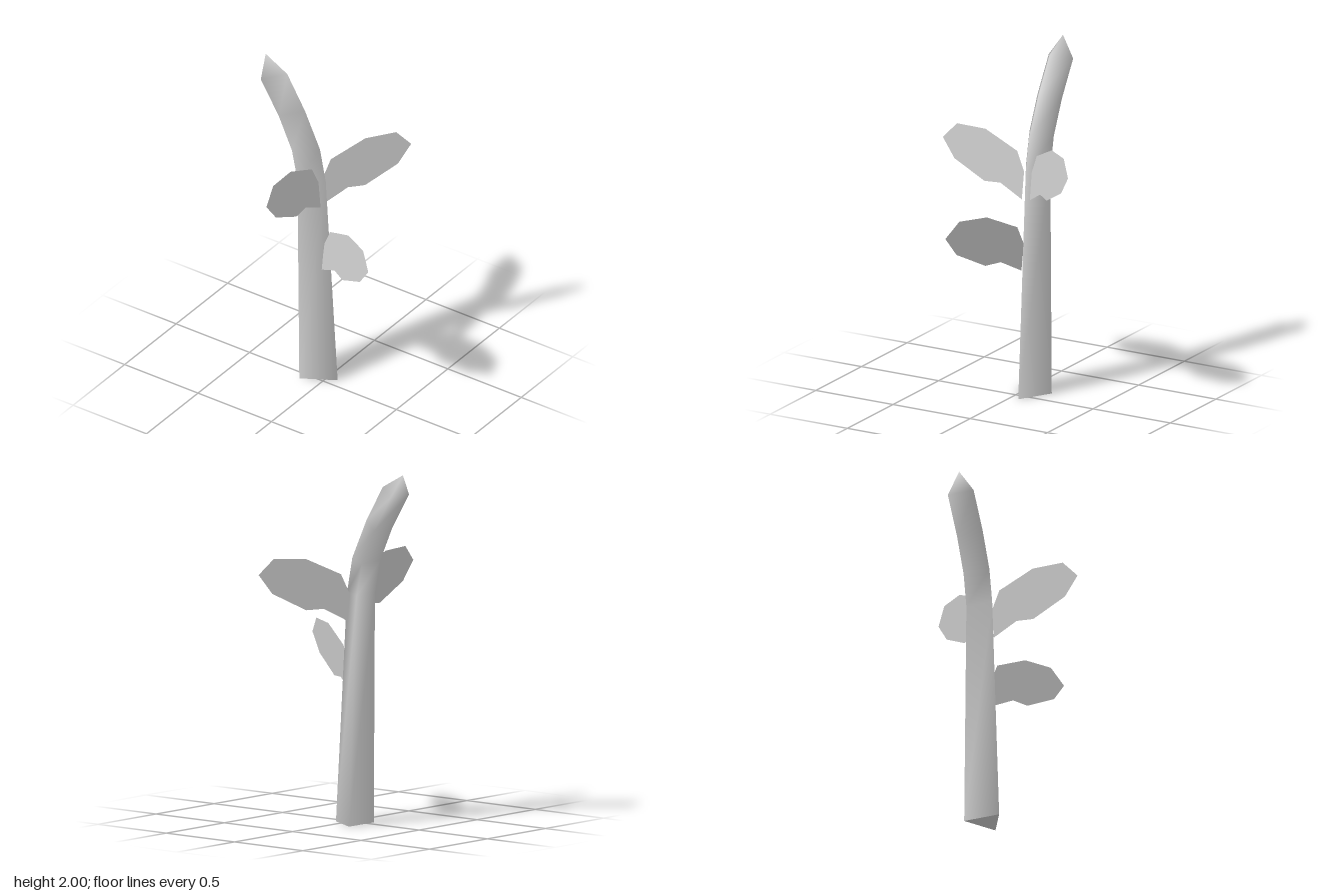
import * as THREE from 'three';

const grey = new THREE.MeshStandardMaterial({ color: 0xcccccc, side: THREE.DoubleSide });
grey.name = 'light grey';

const STEM_X = 0.053;

function geometryFrom(points, index) {
  const g = new THREE.BufferGeometry();
  g.setAttribute('position', new THREE.Float32BufferAttribute(points.flat(), 3));
  g.setIndex(index);
  g.computeVertexNormals();
  return g;
}

// Three-sided stem: each ring is [half width, front y, front z, back y, back z]
const rings = [
  [0.107, 0, 0.063, 0, -0.123],
  [0.079, 1.3, -0.018, 1.3, -0.155],
  [0.079, 1.5, -0.057, 1.485, -0.193],
  [0.079, 1.72, -0.16, 1.68, -0.282],
  [0.079, 1.92, -0.28, 1.88, -0.405],
];

function createStem() {
  const points = [];
  const index = [];
  for (const [w, fy, fz, by, bz] of rings) {
    points.push([STEM_X, fy, fz], [STEM_X + w, by, bz], [STEM_X - w, by, bz]);
  }
  const tip = points.length;
  points.push([STEM_X, 2, -0.427]);
  for (let r = 0; r < rings.length; r++) {
    for (let j = 0; j < 3; j++) {
      const a = r * 3 + j;
      const b = r * 3 + (j + 1) % 3;
      if (r === rings.length - 1) index.push(a, b, tip);
      else index.push(a, b, b + 3, a, b + 3, a + 3);
    }
  }
  const stem = new THREE.Group();
  stem.name = 'stem';
  const shaft = new THREE.Mesh(geometryFrom(points, index), grey);
  shaft.name = 'stemShaft';
  // Flat underside
  const base = new THREE.Mesh(geometryFrom(points.slice(0, 3), [0, 2, 1]), grey);
  base.name = 'stemBase';
  stem.add(shaft, base);
  return stem;
}

// Leaf outline: distance out from the stem, height above the attachment
const outline = [
  [0.005, -0.16], [0.145, -0.085], [0.245, -0.09], [0.44, 0.01], [0.52, 0.12],
  [0.435, 0.21], [0.255, 0.205], [0.05, 0.11], [0, 0],
].map(([u, v]) => new THREE.Vector2(u, v));

// Flat leaf pointing along (dx, dz); its upper edge leans sideways by lean
function createLeaf(name, [x, y, z], dx, dz, lean) {
  const length = Math.hypot(dx, dz);
  const cx = dx / length;
  const cz = dz / length;
  const points = outline.map(({ x: u, y: v }) => [
    x + u * cx - v * lean * cz,
    y + v,
    z + u * cz + v * lean * cx,
  ]);
  const faces = THREE.ShapeUtils.triangulateShape(outline, []);
  const leaf = new THREE.Mesh(geometryFrom(points, faces.flat()), grey);
  leaf.name = name;
  return leaf;
}

export function createModel() {
  const model = new THREE.Group();
  model.name = 'plantStalk';
  model.add(
    createStem(),
    createLeaf('upperRightLeaf', [0.025, 1.3, -0.048], -1, 0.045, 0.107),
    createLeaf('upperLeftLeaf', [0.072, 1.3, -0.052], 0.79, 0.61, -0.09),
    createLeaf('lowerFrontLeaf', [0.04, 0.885, -0.02], -0.47, 0.88, -0.11),
  );
  return model;
}
